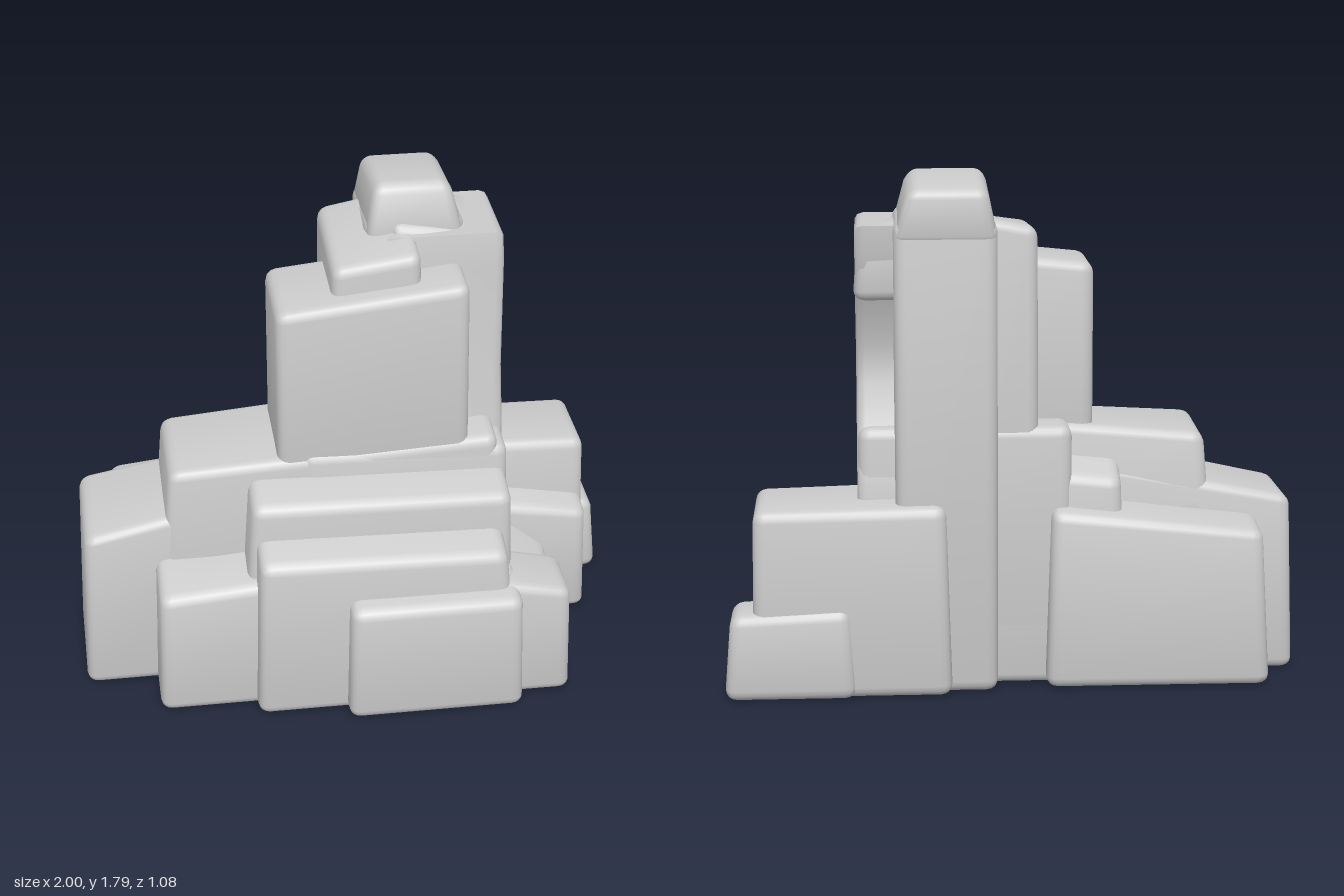
import * as THREE from 'three';
import { RoundedBoxGeometry } from 'three/addons/geometries/RoundedBoxGeometry.js';
import { toCreasedNormals } from 'three/addons/utils/BufferGeometryUtils.js';

const lerp = THREE.MathUtils.lerp;
const stone = new THREE.MeshStandardMaterial({ color: 0xcccccc, roughness: 1 });

// Weathered block: x and z ranges, base height, top heights at its four corners
// [left-back, right-back, left-front, right-front] (left = low x), and how far
// the top is drawn in at [low x, high x, back, front].
function block(name, [x0, x1], [z0, z1], y0, tops, inset = [0.015, 0.015, 0.01, 0.01]) {
  const h = Math.max(...tops) - y0;
  const w = x1 - x0, d = z1 - z0;
  const box = new RoundedBoxGeometry(w, h, d, 2, Math.min(0.04, w / 4, d / 4));
  const p = box.attributes.position;
  for (let i = 0; i < p.count; i++) {
    const u = p.getX(i) / w + 0.5, v = p.getY(i) / h + 0.5, s = p.getZ(i) / d + 0.5;
    const top = lerp(lerp(tops[0], tops[1], u), lerp(tops[2], tops[3], u), s);
    const k = v * v;
    p.setXYZ(i,
      lerp(x0 + inset[0] * k, x1 - inset[1] * k, u),
      lerp(y0, top, v),
      lerp(z0 + inset[2] * k, z1 - inset[3] * k, s));
  }
  box.deleteAttribute('uv');
  const mesh = new THREE.Mesh(toCreasedNormals(box, 0.9), stone);
  mesh.name = name;
  return mesh;
}

// Right-hand buttress with a hollow worn into its rear edge
function buttress() {
  const side = new THREE.Shape([
    [0.05, 0.5], [-0.36, 0.5], [-0.37, 0.72], [-0.3, 0.9], [-0.24, 1.05], [-0.23, 1.2],
    [-0.32, 1.38], [-0.36, 1.48], [-0.365, 1.6], [-0.06, 1.6], [-0.04, 1.5],
    [-0.03, 1.1], [0.02, 0.9],
  ].map(([z, y]) => new THREE.Vector2(-z, y)));
  const geo = new THREE.ExtrudeGeometry(side, {
    depth: 0.36, bevelEnabled: true, bevelSize: 0.02, bevelThickness: 0.03, bevelSegments: 2,
  });
  geo.rotateY(Math.PI / 2);
  geo.translate(0.15, 0, 0);
  geo.deleteAttribute('uv');
  const mesh = new THREE.Mesh(toCreasedNormals(geo, 0.9), stone);
  mesh.name = 'buttress';
  return mesh;
}

export function createModel() {
  const rock = new THREE.Group();
  rock.name = 'rockFormation';
  rock.add(
    // Left flank, rising in steps
    block('leftFoot', [-1, -0.3], [-0.27, 0.2], 0, [0.63, 0.76, 0.61, 0.76], [0.02, 0, 0.02, 0.03]),
    block('leftShoulder', [-0.74, 0.5], [-0.28, 0.2], 0, [0.86, 0.96, 0.86, 0.92], [0.07, 0, 0.04, 0.03]),
    block('backLeftFoot', [-0.89, -0.11], [-0.455, -0.1], 0, [0.55, 0.63, 0.58, 0.68], [0.03, 0.02, 0.02, 0]),
    block('backLeftLedge', [-0.4, 0.2], [-0.385, 0], 0, [0.72, 0.78, 0.88, 0.92], [0.03, 0, 0.02, 0]),

    // Central core
    block('core', [-0.2, 0.545], [-0.38, 0.22], 0, [0.92, 0.92, 0.9, 0.88], [0, 0.01, 0, 0.05]),

    // Front terraces
    block('upperTerrace', [-0.45, 0.545], [0, 0.34], 0, [0.86, 0.84, 0.78, 0.76], [0.06, 0.02, 0, 0.02]),
    block('middleTerrace', [-0.4, 0.55], [0.1, 0.47], 0, [0.72, 0.7, 0.62, 0.6], [0.02, 0.06, 0, 0.02]),
    block('frontLeftTerrace', [-0.745, -0.3], [0, 0.4], 0, [0.56, 0.56, 0.46, 0.5], [0.015, 0, 0, 0.03]),
    block('frontStep', [-0.08, 0.55], [0.3, 0.54], 0, [0.5, 0.49, 0.45, 0.45], [0.01, 0.01, 0, 0.015]),
    block('frontRightStep', [0.3, 0.735], [0.2, 0.465], 0, [0.53, 0.43, 0.51, 0.43], [0, 0.01, 0.01, 0.01]),

    // Right flank
    block('backRightBlock', [0.22, 0.905], [-0.52, -0.12], 0, [0.67, 0.66, 0.69, 0.67], [0.02, 0.01, 0.01, 0.05]),
    block('backRightStep', [0.4, 0.9], [-0.4, -0.04], 0, [0.62, 0.5, 0.5, 0.42], [0, 0.01, 0, 0.01]),
    block('backRightToe', [0.55, 1], [-0.54, -0.29], 0, [0.32, 0.3, 0.32, 0.3], [0.02, 0.025, 0.01, 0.02]),
    block('rightToe', [0.4, 0.76], [-0.1, 0.11], 0, [0.58, 0.33, 0.48, 0.22], [0, 0.03, 0, 0.05]),

    // Tower, stepping up to the peak
    block('towerFront', [-0.285, 0.4], [-0.22, 0.165], 0.6, [1.46, 1.53, 1.45, 1.52], [0, 0.01, 0.01, 0.01]),
    block('towerMiddle', [-0.09, 0.26], [-0.38, 0.09], 0, [1.61, 1.67, 1.57, 1.61], [0.01, 0.03, 0.01, 0.01]),
    buttress(),
    block('towerRightCap', [0.15, 0.545], [-0.385, -0.04], 1.36, [1.66, 1.61, 1.66, 1.6], [0, 0.02, 0.01, 0.03]),
    block('spine', [0.06, 0.41], [-0.475, -0.1], 0, [1.64, 1.64, 1.66, 1.66], [0, 0, 0.005, 0]),
    block('peak', [0.06, 0.41], [-0.473, -0.08], 1.56, [1.75, 1.75, 1.79, 1.79], [0.04, 0.06, 0, 0.05]),
  );
  return rock;
}
